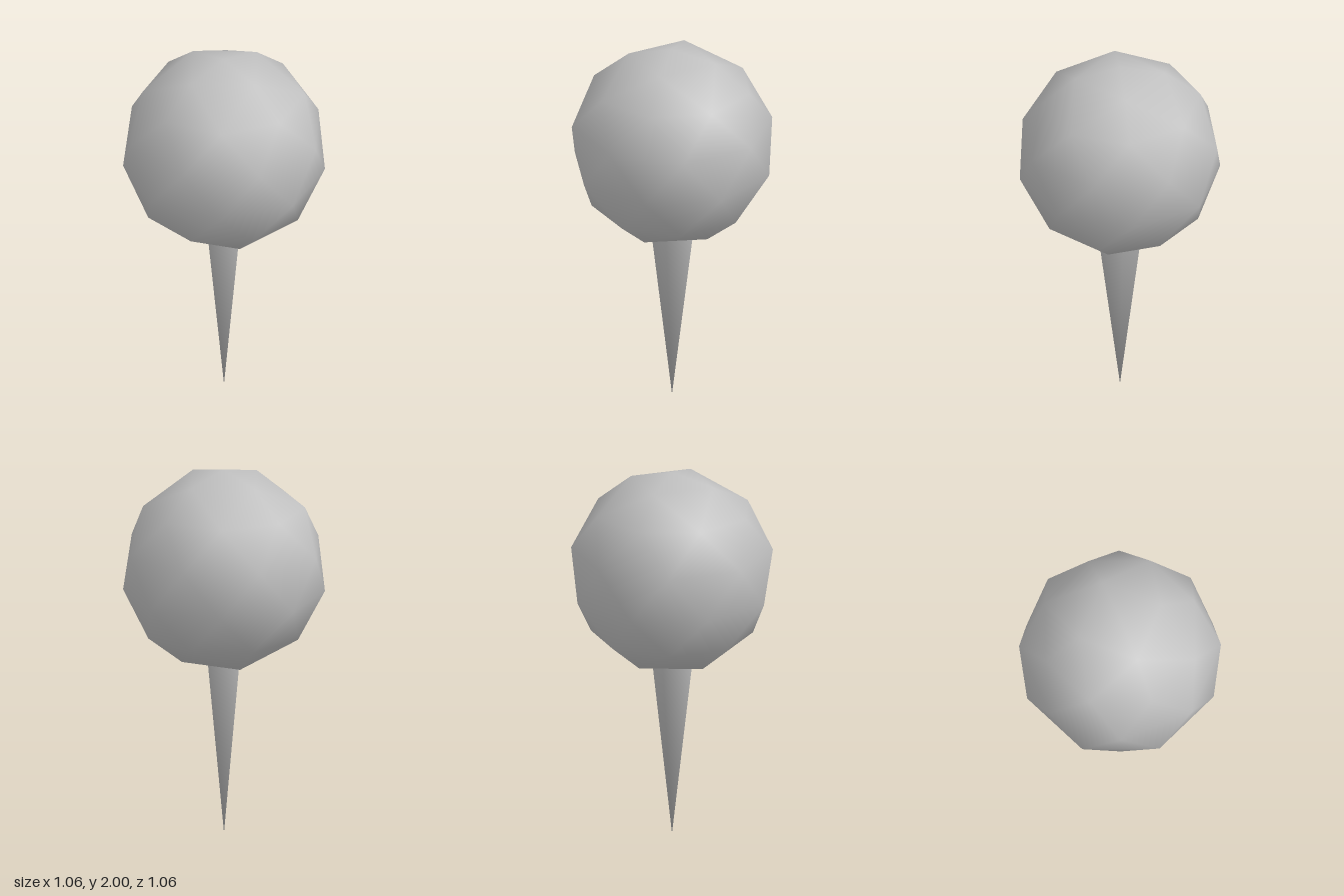
import * as THREE from 'three';
import { mergeVertices } from 'three/addons/utils/BufferGeometryUtils.js';
import { ConvexGeometry } from 'three/addons/geometries/ConvexGeometry.js';

const RADIUS = 0.5435;
const BANDS = 7;

// Weld the corners and average the normals, for soft shading over few faces
function smooth(geometry) {
  geometry.deleteAttribute('normal');
  geometry.deleteAttribute('uv');
  const welded = mergeVertices(geometry, 1e-4);
  welded.computeVertexNormals();
  return welded;
}

// Ball: staggered rings of points between two poles
function ballGeometry() {
  const rings = [ // [point count, turn in degrees], top to bottom
    [1, 0], [4, 0], [8, 0], [8, 22.5], [8, 0], [8, 22.5], [4, -22.5], [1, 0],
  ];
  const points = [];
  rings.forEach(([count, turn], band) => {
    const polar = (band / BANDS) * Math.PI;
    for (let i = 0; i < count; i++) {
      const around = THREE.MathUtils.degToRad(turn + (i * 360) / count);
      points.push(new THREE.Vector3().setFromSphericalCoords(RADIUS, polar, around));
    }
  });
  return smooth(new ConvexGeometry(points));
}

// Spike: four-sided cone, tip down, its open top hidden inside the ball
function spikeGeometry(radius, height) {
  const cone = new THREE.ConeGeometry(radius, height, 4, 1, true);
  cone.rotateX(Math.PI);
  cone.translate(0, height / 2, 0);
  return smooth(cone);
}

export function createModel() {
  const grey = new THREE.MeshStandardMaterial({ color: 0xc0c0c0 });
  grey.name = 'light grey';

  const model = new THREE.Group();
  model.name = 'pin';

  const ball = new THREE.Mesh(ballGeometry(), grey);
  ball.name = 'ballHead';
  ball.position.y = 2 - RADIUS;

  const spike = new THREE.Mesh(spikeGeometry(0.122, 1), grey);
  spike.name = 'spike';

  model.add(ball, spike);
  return model;
}
